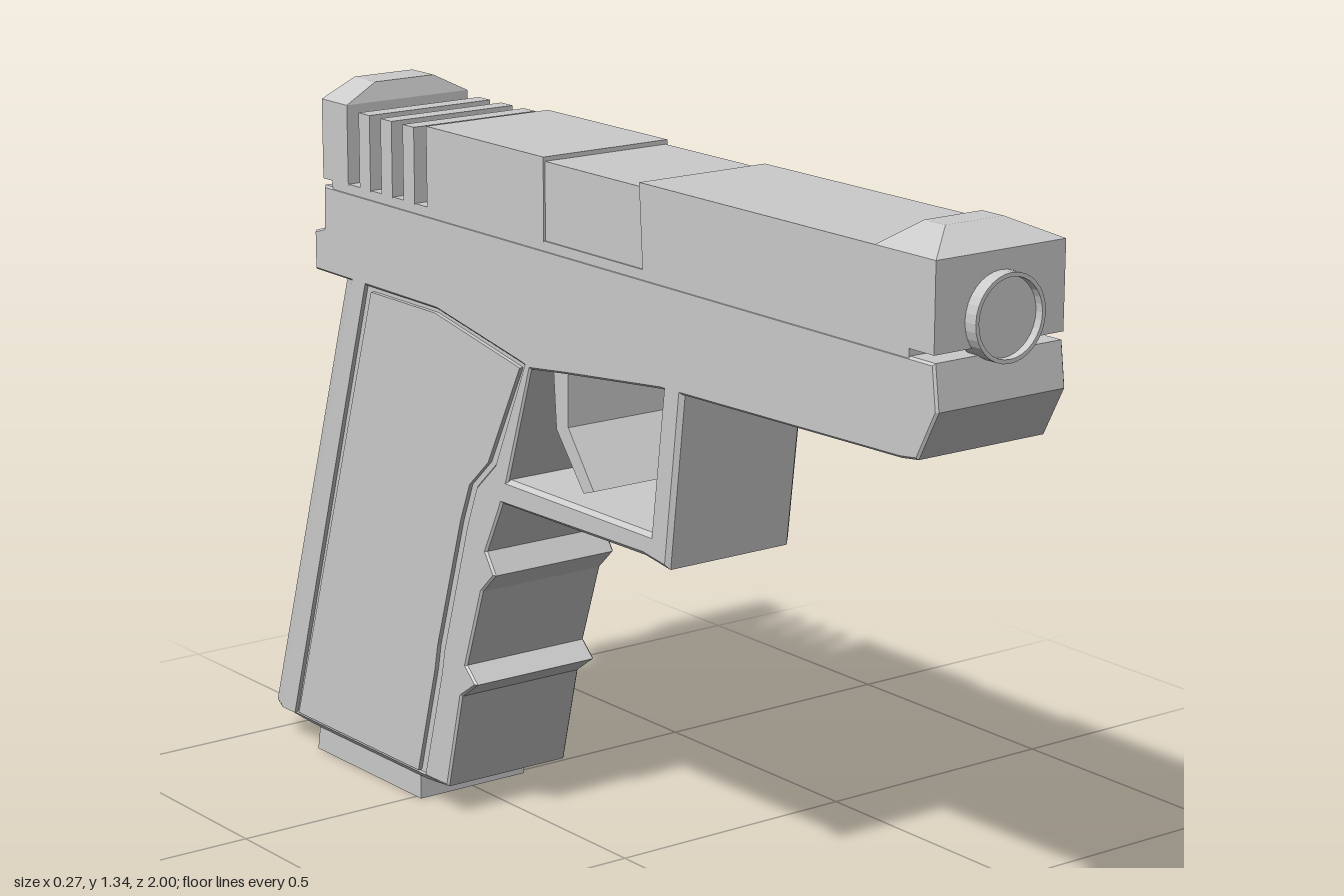
import * as THREE from 'three';
import { ConvexGeometry } from 'three/addons/geometries/ConvexGeometry.js';

const W = 0.135; // half width of the body
const material = new THREE.MeshStandardMaterial({ color: 0xcccccc, flatShading: true });

function part(group, name, geometry) {
  const mesh = new THREE.Mesh(geometry, material);
  mesh.name = name;
  group.add(mesh);
  return mesh;
}

// Side profile of [z, y] points, extruded symmetrically across x.
function slab(points, half = W, bevel = 0) {
  const shape = new THREE.Shape(points.map(([z, y]) => new THREE.Vector2(z, y)));
  const geometry = new THREE.ExtrudeGeometry(shape, {
    depth: 2 * (half - bevel),
    bevelEnabled: bevel > 0,
    bevelThickness: bevel,
    bevelSize: bevel,
    bevelOffset: -bevel,
    bevelSegments: 1,
  });
  return geometry.translate(0, 0, bevel - half).rotateY(-Math.PI / 2);
}

const rect = (z0, z1, y0, y1) => [[z0, y0], [z1, y0], [z1, y1], [z0, y1]];

// Convex solid from [x, y, z] points mirrored across x.
function mirroredHull(points) {
  return new ConvexGeometry(points.flatMap(([x, y, z]) => [
    new THREE.Vector3(x, y, z), new THREE.Vector3(-x, y, z),
  ]));
}

function buildSlide() {
  const g = new THREE.Group();
  g.name = 'slide';
  part(g, 'slideFront', slab([[0.975, 1.155], [0.975, 1.305], [0.22, 1.305], [0.23, 1.155]]));
  part(g, 'ejectionPort', slab(rect(0.23, -0.055, 1.155, 1.297), 0.131));
  part(g, 'slideMiddle', slab(rect(-0.055, -0.415, 1.155, 1.305)));
  part(g, 'slideRear', slab(rect(-0.675, -0.76, 1.155, 1.305)));
  // grip fins between open slots
  for (let i = 0; i < 3; i++) {
    const z = -0.455 - i * 0.0725;
    part(g, 'slideFin', slab(rect(z, z - 0.036, 1.155, 1.297)));
  }
  // core joining slide and frame, leaving a slit at both ends
  part(g, 'slideCore', slab(rect(0.915, -0.73, 1.1, 1.157), 0.134));
  // sights
  part(g, 'frontSight', mirroredHull([
    [W, 1.305, 0.975], [W, 1.305, 0.83],
    [0.06, 1.34, 0.91], [0.06, 1.34, 0.86],
  ]));
  part(g, 'rearSight', mirroredHull([
    [W, 1.305, -0.675], [W, 1.305, -0.76],
    [0.065, 1.34, -0.685], [0.065, 1.34, -0.755],
  ]));
  return g;
}

function buildGrip() {
  const g = new THREE.Group();
  g.name = 'grip';
  // inner body visible in the panel grooves
  part(g, 'gripCore', slab([
    [-0.1, 0.93], [-0.2, 0.69], [-0.26, 0.6], [-0.43, 0.06],
    [-0.93, 0.06], [-0.66, 0.99], [-0.3, 0.99],
  ], 0.127));
  // front strap with two finger ridges
  part(g, 'frontStrap', slab([
    [-0.095, 0.93], [-0.17, 0.70], [-0.195, 0.64],
    [-0.24, 0.55], [-0.213, 0.51], [-0.255, 0.47],
    [-0.308, 0.315], [-0.275, 0.285], [-0.325, 0.25],
    [-0.372, 0.06], [-0.45, 0.06], [-0.39, 0.28], [-0.38, 0.33],
    [-0.30, 0.59], [-0.27, 0.665], [-0.21, 0.72], [-0.115, 0.93],
  ], W, 0.004));
  // side panels
  part(g, 'gripPanel', slab([
    [-0.13, 0.915], [-0.23, 0.72], [-0.29, 0.665], [-0.32, 0.59],
    [-0.40, 0.33], [-0.41, 0.28], [-0.47, 0.065],
    [-0.89, 0.065], [-0.605, 0.965], [-0.395, 0.965],
  ], W));
  // back strap, narrowing rearward
  part(g, 'backStrap', mirroredHull([
    [W, 0.985, -0.622], [W, 0.985, -0.665], [0.115, 0.985, -0.71],
    [W, 0.06, -0.905], [W, 0.06, -0.95], [0.115, 0.06, -1.0],
  ]));
  // chamfered base and magazine foot
  part(g, 'gripBase', mirroredHull([
    [W, 0.062, -0.372], [W, 0.062, -0.95], [0.115, 0.062, -1.0],
    [0.12, 0.047, -0.46], [0.12, 0.047, -0.86],
  ]));
  part(g, 'magazineFoot', slab([[-0.485, 0], [-0.845, 0], [-0.835, 0.055], [-0.485, 0.055]], 0.12));
  return g;
}

export function createModel() {
  const model = new THREE.Group();
  model.name = 'pistol';
  model.add(buildSlide(), buildGrip());

  // frame under the slide
  part(model, 'frame', slab([
    [0.975, 1.142], [0.985, 1.065], [0.94, 0.98], [0.9, 0.975],
    [0.28, 0.96], [0, 0.93], [-0.1, 0.918], [-0.13, 0.925], [-0.39, 0.973],
    [-0.795, 0.975], [-0.795, 1.05], [-0.762, 1.06], [-0.76, 1.142],
  ], W, 0.004));

  // trigger guard
  part(model, 'triggerGuard', slab([
    [0.34, 0.975], [0.30, 0.645], [0.23, 0.655], [-0.21, 0.65],
    [-0.185, 0.70], [0.25, 0.70], [0.285, 0.975],
  ], W, 0.008));

  // trigger
  part(model, 'trigger', slab([
    [-0.005, 0.95], [-0.005, 0.83], [0.07, 0.73], [0.04, 0.72],
    [-0.04, 0.82], [-0.05, 0.95],
  ], 0.12));

  // muzzle ring with a shallow recess
  const profile = [[0, 0.985], [0.066, 0.985], [0.066, 1], [0.073, 1], [0.073, 0.95]]
    .map(([r, z]) => new THREE.Vector2(r, z)).reverse();
  part(model, 'muzzle', new THREE.LatheGeometry(profile, 32).rotateX(Math.PI / 2).translate(0, 1.2, 0));

  return model;
}
